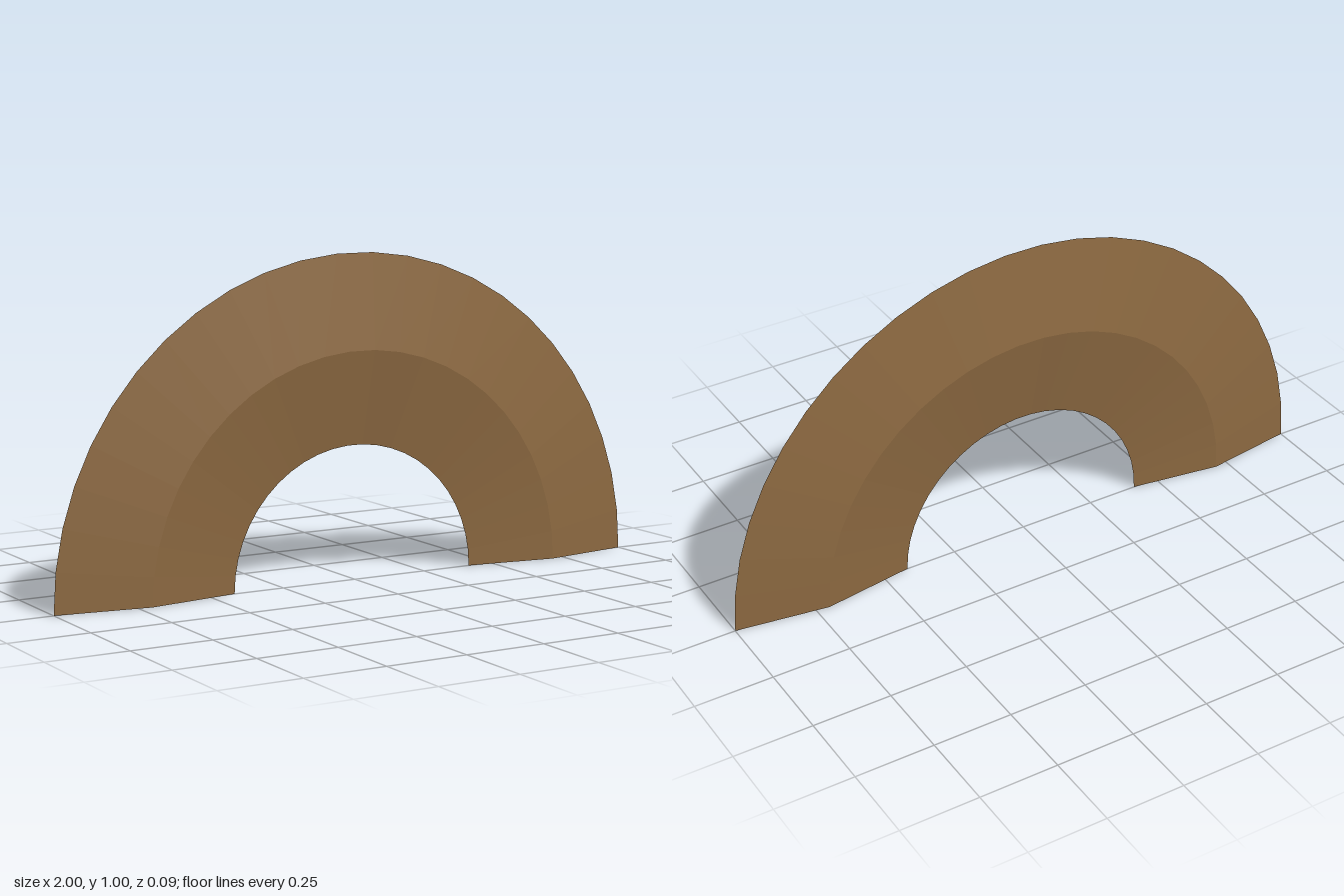
import * as THREE from 'three';

const RING = 0.708;        // radius of the ridge line
const HALF_WIDTH = 0.292;  // ridge to inner or outer edge
const HALF_DEPTH = 0.044;  // thickness at the ridge

export function createModel() {
  const group = new THREE.Group();
  group.name = 'archBlade';
  const material = new THREE.MeshStandardMaterial({ color: 0x8b6840, flatShading: true });

  // Half ring with a flattened diamond section
  const arch = new THREE.TorusGeometry(RING, HALF_WIDTH, 4, 25, Math.PI);
  arch.scale(1, 1, HALF_DEPTH / HALF_WIDTH);
  const archMesh = new THREE.Mesh(arch, material);
  archMesh.name = 'arch';
  group.add(archMesh);

  // Diamond caps closing both feet, facing down
  const diamond = new THREE.Shape([
    new THREE.Vector2(HALF_WIDTH, 0),
    new THREE.Vector2(0, HALF_DEPTH),
    new THREE.Vector2(-HALF_WIDTH, 0),
    new THREE.Vector2(0, -HALF_DEPTH),
  ]);
  const cap = new THREE.ShapeGeometry(diamond).rotateX(Math.PI / 2);
  for (const side of [1, -1]) {
    const mesh = new THREE.Mesh(cap, material);
    mesh.position.x = side * RING;
    mesh.name = side > 0 ? 'leftEndCap' : 'rightEndCap';
    group.add(mesh);
  }
  return group;
}
